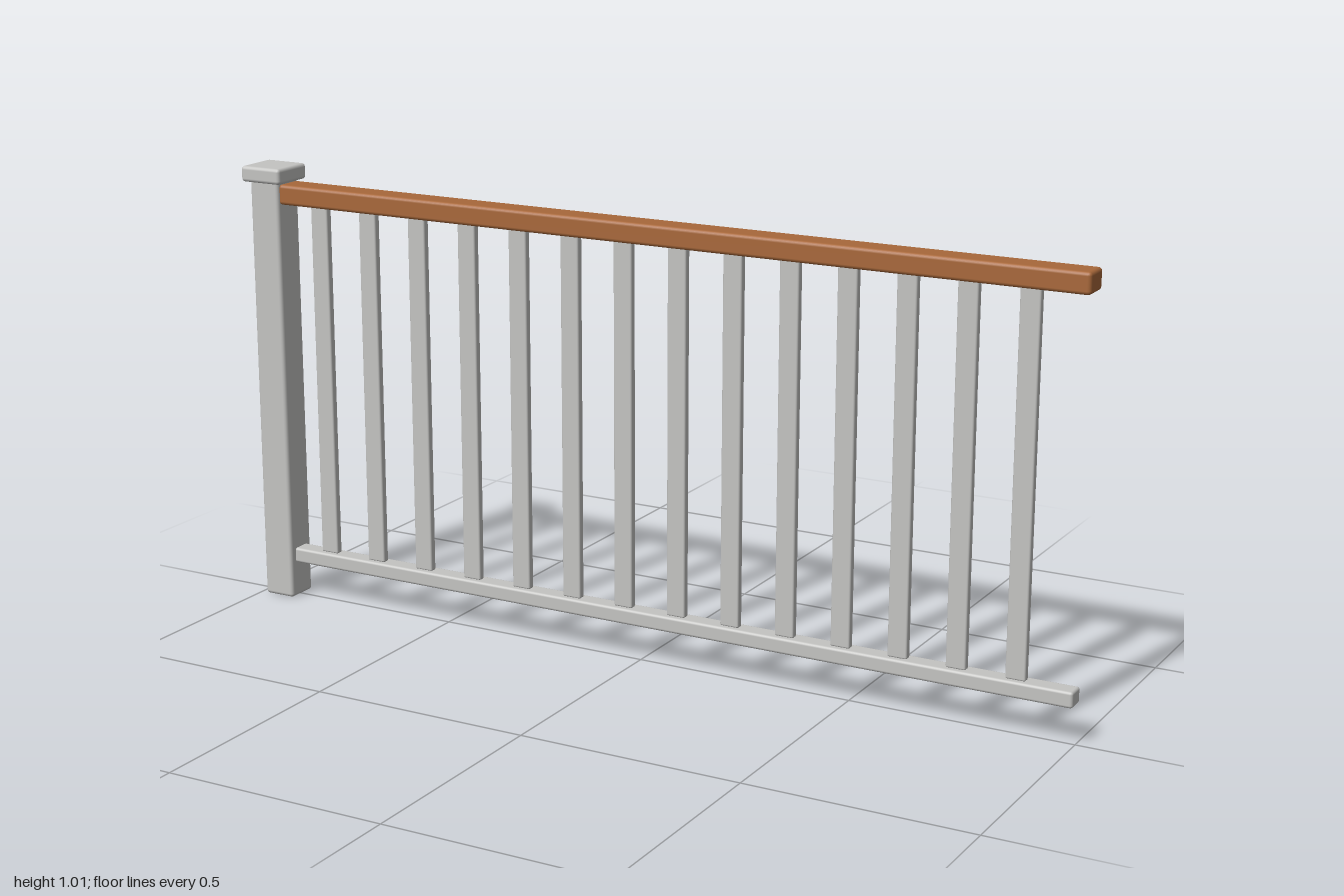
import * as THREE from 'three';
import { RoundedBoxGeometry } from 'three/addons/geometries/RoundedBoxGeometry.js';

export function createModel() {
  const model = new THREE.Group();
  model.name = 'railing';
  const metal = new THREE.MeshStandardMaterial({ color: 0xc4c4c2 });
  metal.name = 'light grey metal';
  const wood = new THREE.MeshStandardMaterial({ color: 0xa8683a });
  wood.name = 'brown wood';

  // Rounded bar given by its extents in x and y, and its depth centred on z = 0
  function bar(name, x0, x1, y0, y1, depth, radius, material, parent = model) {
    const geometry = new RoundedBoxGeometry(x1 - x0, y1 - y0, depth, 2, radius);
    const mesh = new THREE.Mesh(geometry, material);
    mesh.position.set((x0 + x1) / 2, (y0 + y1) / 2, 0);
    mesh.name = name;
    parent.add(mesh);
  }

  // End post with its wider cap
  bar('post', -0.986, -0.909, 0, 0.985, 0.077, 0.008, metal);
  bar('postCap', -1, -0.895, 0.978, 1.014, 0.105, 0.008, metal);

  // Wooden handrail and metal bottom rail
  bar('handrail', -0.912, 1, 0.93, 0.976, 0.066, 0.008, wood);
  bar('bottomRail', -0.912, 0.998, 0.083, 0.118, 0.044, 0.006, metal);

  // Row of flat balusters
  const balusters = new THREE.Group();
  balusters.name = 'balusters';
  model.add(balusters);
  for (let i = 0; i < 14; i++) {
    const x = -0.82 + i * 0.13;
    bar('baluster', x - 0.022, x + 0.022, 0.117, 0.931, 0.018, 0.004, metal, balusters);
  }
  return model;
}
